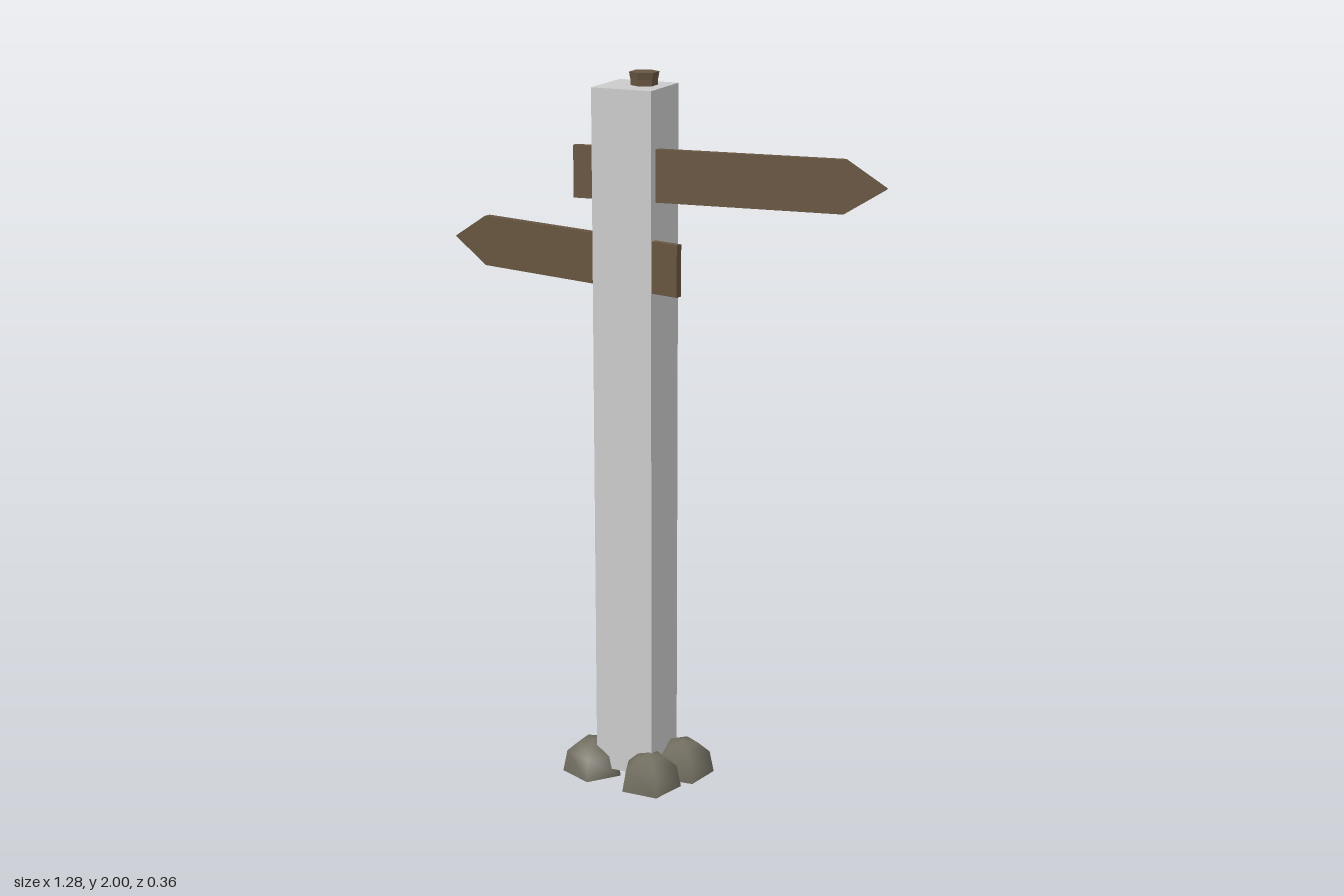
import * as THREE from 'three';

const material = (name, color, side = THREE.FrontSide) => {
  const m = new THREE.MeshStandardMaterial({ color, side });
  m.name = name;
  return m;
};

export function createModel() {
  const model = new THREE.Group();
  model.name = 'signpost';
  const paleGrey = material('pale grey', 0xcbcbcb);
  const wood = material('brown wood', 0x675540);
  const stone = material('grey stone', 0x706c5f);

  const add = (name, geometry, mat, x, y, z, parent = model) => {
    const mesh = new THREE.Mesh(geometry, mat);
    mesh.name = name;
    mesh.position.set(x, y, z);
    parent.add(mesh);
    return mesh;
  };

  // Square post around a hexagonal wooden core with a slightly wider cap
  add('post', new THREE.BoxGeometry(0.172, 1.94, 0.172), paleGrey, -0.055, 0.995, 0.014);
  const hexagon = (r0, r1, h) => new THREE.CylinderGeometry(r1, r0, h, 6).toNonIndexed();
  const core = hexagon(0.036, 0.036, 1.985);
  core.computeVertexNormals();
  add('core', core, wood, -0.035, 0.9925, 0);
  const cap = hexagon(0.037, 0.04, 0.018);
  cap.computeVertexNormals();
  add('coreCap', cap, wood, -0.035, 1.991, 0);

  // Arrow boards, each running from a square tail to a pointed tip
  const thickness = 0.02, half = 0.07;
  const addBoard = (name, tail, tip, y) => {
    const dx = tip[0] - tail[0], dz = tip[1] - tail[1];
    const length = Math.hypot(dx, dz);
    const shape = new THREE.Shape([
      [0, -half], [length - 0.11, -half], [length, 0], [length - 0.11, half], [0, half],
    ].map(([x, h]) => new THREE.Vector2(x, h)));
    const geometry = new THREE.ExtrudeGeometry(shape, { depth: thickness, bevelEnabled: false });
    geometry.translate(0, 0, -thickness / 2);
    add(name, geometry, wood, tail[0], y, tail[1]).rotation.y = Math.atan2(-dz, dx);
  };
  addBoard('upperBoard', [-0.197, 0.089], [0.64, -0.01], 1.74);
  addBoard('lowerBoard', [0.112, 0.101], [-0.64, -0.052], 1.5);

  // Five-sided domed stones at the foot: x, z, angle of the first corner
  const profile = [[0.089, 0], [0.077, 0.062], [0.042, 0.09], [0, 0.1]]
    .map(([r, y]) => new THREE.Vector2(r, y));
  const base = [new THREE.Vector2(0, 0), new THREE.Vector2(0.089, 0)];
  const stones = [
    [-0.108, -0.11, 173], [0.074, -0.02, 48], [-0.163, 0.075, 149], [0.025, 0.1, 125],
  ];
  for (const [x, z, angle] of stones) {
    const group = new THREE.Group();
    group.name = 'footStone';
    group.position.set(x, 0, z);
    const start = THREE.MathUtils.degToRad(90 - angle);
    add('stoneDome', new THREE.LatheGeometry(profile, 5, start), stone, 0, 0, 0, group);
    add('stoneBase', new THREE.LatheGeometry(base, 5, start), stone, 0, 0, 0, group);
    model.add(group);
  }
  return model;
}
